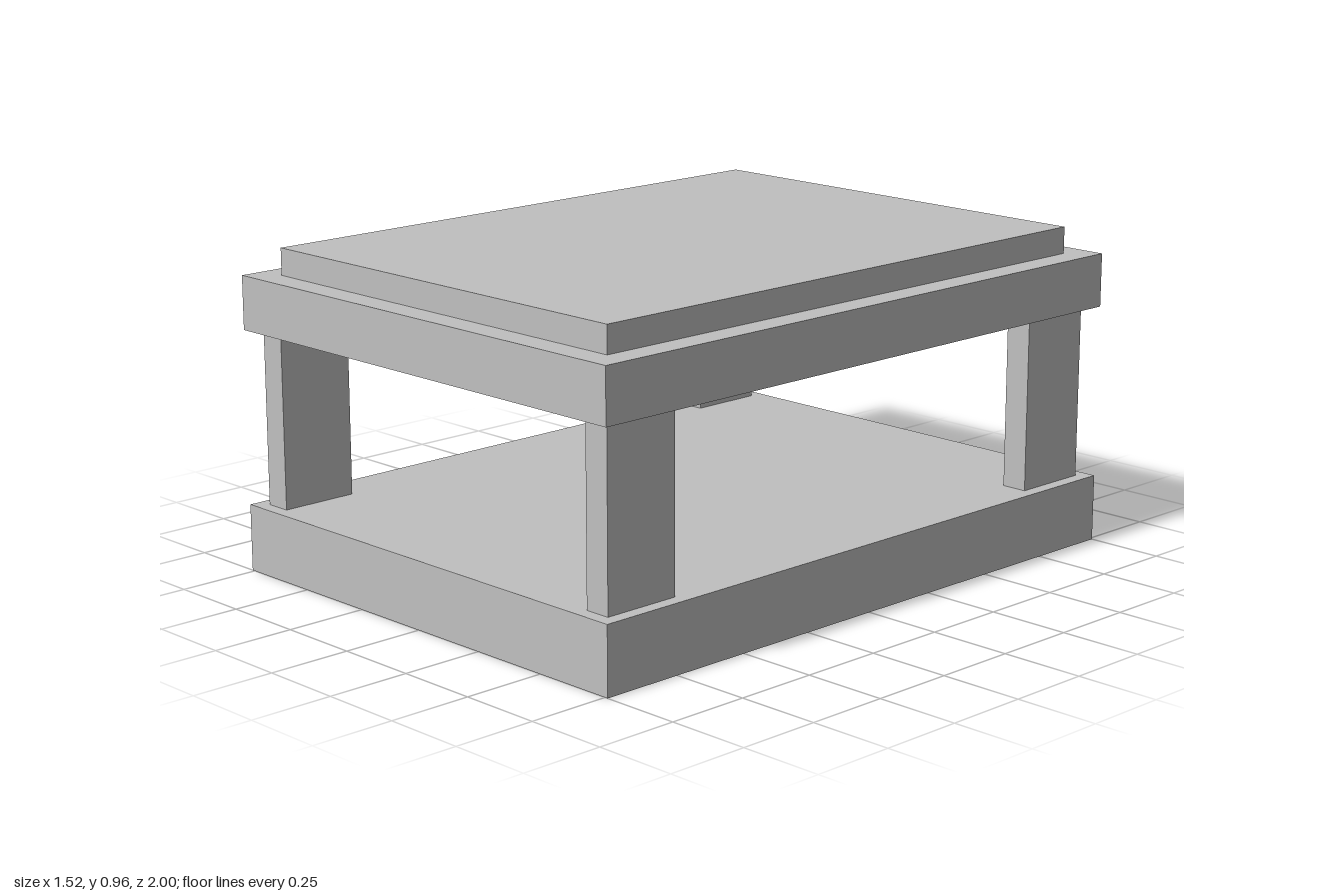
import * as THREE from 'three';

export function createModel() {
  const model = new THREE.Group();
  model.name = 'lowTable';

  const grey = new THREE.MeshStandardMaterial({ color: 0xc0c0c0 });
  grey.name = 'light grey';

  // Box resting on height y
  function addBlock(name, width, height, depth, x, y, z) {
    const mesh = new THREE.Mesh(new THREE.BoxGeometry(width, height, depth), grey);
    mesh.name = name;
    mesh.position.set(x, y + height / 2, z);
    model.add(mesh);
  }

  // Stacked slabs
  addBlock('base', 1.52, 0.2, 2, 0, 0, 0);
  addBlock('tableTop', 1.52, 0.16, 2, 0, 0.72, 0);
  addBlock('topPanel', 1.36, 0.08, 1.84, 0, 0.88, 0);

  // Four corner legs between base and top
  for (const [side, x] of [['Left', 0.68], ['Right', -0.68]]) {
    for (const [end, z] of [['front', 0.84], ['back', -0.84]]) {
      addBlock(`${end}${side}Leg`, 0.08, 0.52, 0.24, x, 0.2, z);
    }
  }

  return model;
}
